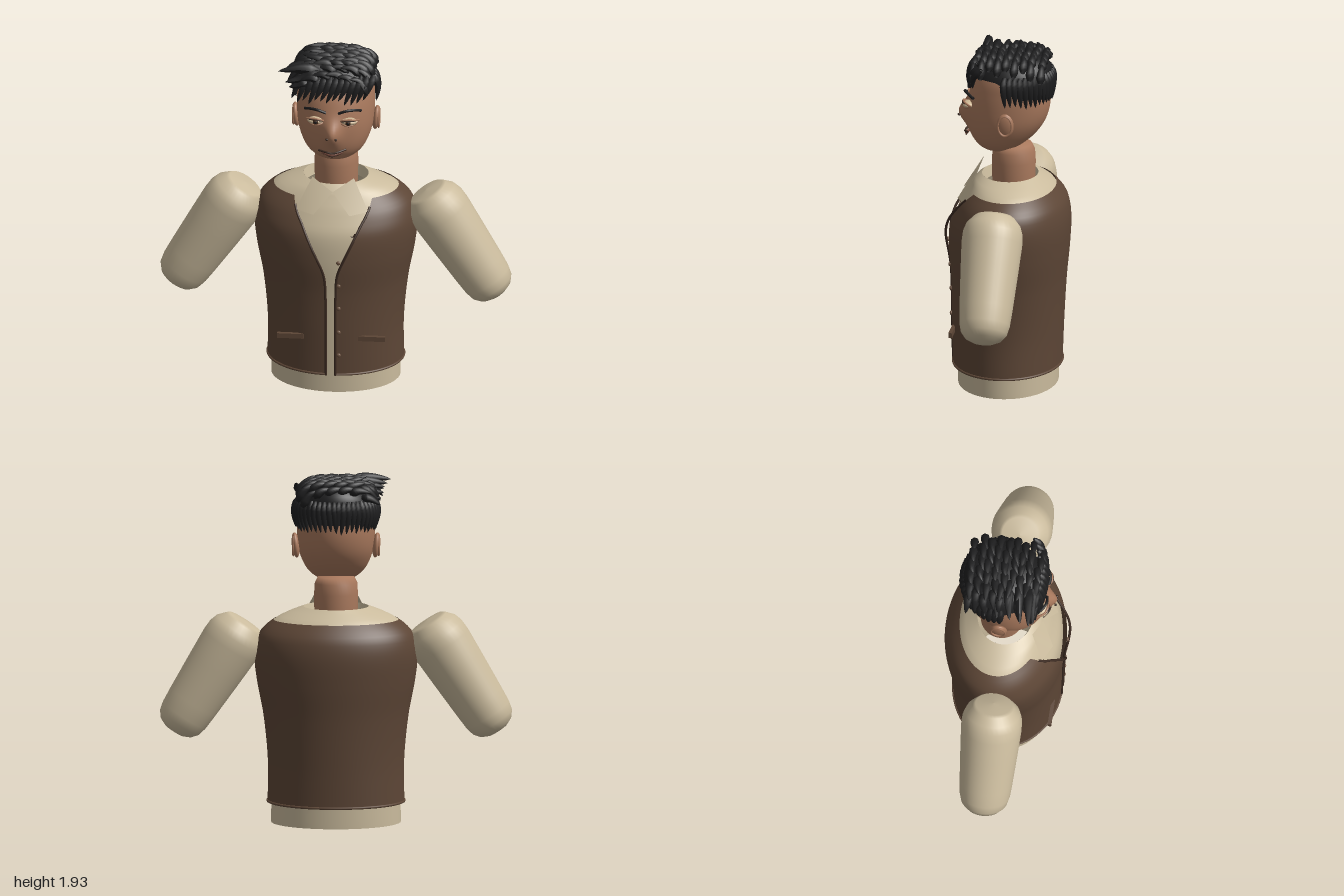
import * as THREE from 'three';
import { mergeVertices, mergeGeometries } from 'three/addons/utils/BufferGeometryUtils.js';

const V = (x, y, z) => new THREE.Vector3(x, y, z);
const paint = (name, color, side = THREE.FrontSide) =>
  Object.assign(new THREE.MeshStandardMaterial({ color, side }), { name });
const M = {
  skin: paint('skin', 0xa9795d),
  shirt: paint('shirt cream', 0xcabb9d, THREE.DoubleSide),
  vest: paint('vest brown', 0x5d4636, THREE.DoubleSide),
  trim: paint('trim dark brown', 0x3c2b22),
  button: paint('button brown', 0x6e5442),
  hair: paint('hair black', 0x1e1e1f, THREE.DoubleSide),
  eye: paint('eye white', 0xcdb795),
  iris: paint('iris brown', 0x4a2f1e),
  lip: paint('lip brown', 0x7a4c3e),
};

// Body sections: [y, half width, front z, back z]
const SHIRT = [[0, .357, .275, -.275], [.2, .358, .28, -.28], [.6, .38, .292, -.3], [.8, .415, .303, -.318],
  [.95, .43, .293, -.322], [1.05, .405, .25, -.303], [1.1, .375, .225, -.275], [1.14, .335, .2, -.245],
  [1.18, .25, .178, -.195], [1.205, .18, .145, -.165]];
const VEST = [[.115, .377, .303, -.297], [.35, .376, .308, -.306], [.6, .4, .312, -.32], [.8, .437, .325, -.338],
  [.95, .45, .315, -.343], [1.05, .428, .272, -.325], [1.1, .39, .238, -.293], [1.135, .345, .21, -.262]];
const HEAD = [[1.335, 0, .06, .06], [1.34, .06, .1, -.02], [1.36, .105, .15, -.05], [1.4, .152, .188, -.105],
  [1.45, .182, .212, -.158], [1.52, .205, .224, -.205], [1.6, .214, .225, -.23], [1.7, .214, .205, -.235],
  [1.78, .203, .17, -.225], [1.84, .16, .12, -.17], [1.88, .08, .05, -.09], [1.89, 0, -.02, -.02]];
const HAIR = [[1.62, .219, .205, -.24], [1.7, .224, .214, -.247], [1.78, .22, .2, -.245], [1.84, .19, .18, -.232],
  [1.88, .14, .145, -.195], [1.9, .09, .09, -.13], [1.91, 0, -.02, -.02]];
// Vest opening: [y, half gap]
const GAP = [[.115, .026], [.6, .028], [.72, .036], [.8, .062], [1.0, .155], [1.08, .2], [1.135, .215]];

// Smooth interpolation of a table row at height y
function at(table, y) {
  let i = 0;
  while (i < table.length - 2 && y > table[i + 1][0]) i++;
  const a = table[i], b = table[i + 1], p = table[Math.max(i - 1, 0)], q = table[Math.min(i + 2, table.length - 1)];
  const h = b[0] - a[0], t = THREE.MathUtils.clamp((y - a[0]) / h, 0, 1);
  return a.slice(1).map((va, k) => {
    const vb = b[k + 1];
    const ma = (vb - p[k + 1]) / (b[0] - p[0]) * h, mb = (q[k + 1] - va) / (q[0] - a[0]) * h;
    const t2 = t * t, t3 = t2 * t;
    return (2 * t3 - 3 * t2 + 1) * va + (t3 - 2 * t2 + t) * ma + (3 * t2 - 2 * t3) * vb + (t3 - t2) * mb;
  });
}
// Point on a sectioned body; angle 0 faces front, growing towards +x
function onBody(table, y, a) {
  const [w, f, b] = at(table, y);
  return V(w * Math.sin(a), y, (f + b) / 2 + (f - b) / 2 * Math.cos(a));
}
// Smooth surface from fn(u, v)
function grid(fn, nu, nv) {
  const pos = [], idx = [];
  for (let j = 0; j <= nv; j++) for (let i = 0; i <= nu; i++) pos.push(...fn(i / nu, j / nv).toArray());
  for (let j = 0; j < nv; j++) for (let i = 0; i < nu; i++) {
    const a = j * (nu + 1) + i, c = a + nu + 1;
    idx.push(a, a + 1, c, a + 1, c + 1, c);
  }
  let g = new THREE.BufferGeometry();
  g.setAttribute('position', new THREE.Float32BufferAttribute(pos, 3));
  g.setIndex(idx);
  g = mergeVertices(g, 1e-5);
  g.computeVertexNormals();
  return g;
}
const tube = (pts, r, n = 24) => new THREE.TubeGeometry(new THREE.CatmullRomCurve3(pts), n, r, 8);
// Hair lock: a tube that swells, then narrows to a point
function lock(pts, r) {
  const curve = new THREE.CatmullRomCurve3(pts), n = 10, m = 7;
  const g = new THREE.TubeGeometry(curve, n, r, m), p = g.attributes.position, v = V(0, 0, 0);
  for (let i = 0; i <= n; i++) {
    const t = i / n, c = curve.getPointAt(t), s = Math.min(1, .35 + t * 3) * Math.pow(1 - t, .6);
    for (let k = 0; k <= m; k++) {
      const id = i * (m + 1) + k;
      v.fromBufferAttribute(p, id).sub(c).multiplyScalar(s).add(c);
      p.setXYZ(id, v.x, v.y, v.z);
    }
  }
  g.computeVertexNormals();
  return g;
}

export function createModel() {
  const root = new THREE.Group();
  root.name = 'bust';
  const add = (name, geo, mat, x = 0, y = 0, z = 0) => {
    const m = new THREE.Mesh(geo, mat);
    m.name = name;
    m.position.set(x, y, z);
    root.add(m);
    return m;
  };
  const ball = (name, mat, p, s) => {
    const m = add(name, new THREE.SphereGeometry(1, 24, 16), mat, ...p);
    m.scale.set(...s);
    return m;
  };
  const TAU = Math.PI * 2;
  let seed = 7;
  const rnd = () => (seed = (seed * 16807) % 2147483647) / 2147483647 - .5;

  // Shirt body, open below, with a neck band
  add('shirt', grid((u, v) => onBody(SHIRT, 1.205 * v, u * TAU), 64, 48), M.shirt);
  add('neckBand', grid((u, v) => {
    const a = u * TAU;
    return V((.18 - .015 * v) * Math.sin(a), 1.205 - .06 * v, -.01 + (.155 - .015 * v) * Math.cos(a));
  }, 48, 2), M.shirt);

  // Vest wrapped from one front edge round the back to the other
  const edge = y => Math.asin(at(GAP, y)[0] / at(VEST, y)[0]);
  add('vest', grid((u, v) => {
    const y = .115 + 1.02 * v, a = edge(y);
    return onBody(VEST, y, a + u * (TAU - 2 * a));
  }, 80, 48), M.vest);
  const a0 = edge(.115), hem = [];
  for (let i = 0; i <= 40; i++) hem.push(onBody(VEST, .119, a0 + i / 40 * (TAU - 2 * a0)));
  add('vestHem', tube(hem, .007, 80), M.vest);
  for (const s of [1, -1]) {
    const pts = [];
    for (let i = 0; i <= 24; i++) {
      const y = .115 + i / 24 * .985, p = onBody(VEST, y, s * edge(y));
      p.z += .002 + .016 * Math.exp(-(((y - .88) / .12) ** 2));
      pts.push(p);
    }
    add('vestEdge', tube(pts, .007, 64), M.trim);
    add('pocket', new THREE.BoxGeometry(.148, .028, .02), M.vest, s * .225, .335, .277);

    // Collar wing
    const wing = new THREE.BufferGeometry().setFromPoints([V(s * .115, 1.25, .155), V(s * .2, 1.08, .222),
      V(s * .1, 1.07, .268), V(0, 1.18, .2)]);
    wing.setIndex(s > 0 ? [0, 3, 2, 0, 2, 1] : [0, 2, 3, 0, 1, 2]);
    wing.computeVertexNormals();
    add('collarWing', wing, M.shirt);

    // Sleeve, a tapered capsule hanging outwards
    const sleeve = new THREE.LatheGeometry([[0, 0], [.06, .006], [.1, .025], [.128, .06], [.14, .11], [.147, .2],
      [.16, .42], [.168, .57], [.165, .63], [.15, .675], [.115, .715], [.1, .727], [0, .735]]
      .map(p => new THREE.Vector2(...p)), 36);
    add('sleeve', sleeve, M.shirt, s * .895, .505, -.004).quaternion
      .setFromUnitVectors(V(0, 1, 0), V(-s * .395, .615, 0).normalize());
  }
  for (const y of [.81, .665, .525, .38, .24])
    ball('button', M.button, [.045, y, at(VEST, y)[1] + .004], [.012, .012, .008]);
  add('chestStitch', tube([V(.112, .965, .305), V(.12, .958, .307), V(.135, .98, .302)], .003, 8), M.trim);

  // Neck and head, with the nose drawn out of the face
  add('neck', new THREE.LatheGeometry([[.117, 1.13], [.12, 1.2], [.121, 1.28], [.117, 1.34], [.1, 1.375], [0, 1.39]]
    .map(p => new THREE.Vector2(...p)), 40), M.skin, 0, 0, -.03);
  add('head', grid((u, v) => {
    const p = onBody(HEAD, 1.6125 - .2775 * Math.cos(v * Math.PI), u * TAU);
    if (p.z > 0) p.z += .052 * Math.exp(-((p.x / .045) ** 2) - ((p.y - 1.545) / .07) ** 2);
    return p;
  }, 96, 64), M.skin);

  // Facial features, mirrored
  for (const s of [1, -1]) {
    ball('ear', M.skin, [s * .222, 1.547, -.018], [.022, .07, .048]).rotation.z = -s * .1;
    const rim = add('earRim', new THREE.TorusGeometry(1, .14, 8, 32), M.skin, s * .236, 1.547, -.018);
    rim.rotation.y = Math.PI / 2;
    rim.scale.set(.038, .056, .04);
    ball('eye', M.eye, [s * .092, 1.62, .208], [.046, .019, .034]);
    ball('iris', M.iris, [s * .09, 1.621, .236], [.016, .016, .008]);
    ball('pupil', M.hair, [s * .09, 1.621, .242], [.008, .008, .004]);
    const lid = (h, z) => [V(s * .04, 1.615, .21), V(s * .068, 1.62 + h * .75, z), V(s * .095, 1.62 + h, z),
      V(s * .12, 1.62 + h * .7, z - .012), V(s * .145, 1.62, .185)];
    add('upperLid', tube(lid(.02, .235), .006), M.skin);
    add('lowerLid', tube(lid(-.019, .232), .005), M.skin);
    add('lashLine', tube(lid(.016, .241), .003), M.trim);
    add('eyebrow', tube([V(s * .035, 1.673, .226), V(s * .075, 1.69, .23), V(s * .115, 1.69, .212),
      V(s * .155, 1.672, .17)], .008), M.hair);
    ball('nostril', M.trim, [s * .025, 1.533, .272], [.008, .007, .008]);
  }
  add('mouthLine', tube([V(-.075, 1.438, .208), V(-.03, 1.439, .236), V(0, 1.435, .24), V(.03, 1.44, .236),
    V(.075, 1.448, .208)], .006), M.trim);
  add('lowerLip', tube([V(-.055, 1.43, .215), V(0, 1.422, .234), V(.055, 1.433, .215)], .008), M.lip);
  add('lipShade', tube([V(-.045, 1.423, .22), V(0, 1.414, .236), V(.045, 1.424, .22)], .004), M.trim);

  // Hair cap, lower at the back than over the brow
  add('hairCap', grid((u, v) => {
    const a = u * TAU, low = 1.79 - .1 * THREE.MathUtils.smoothstep(-Math.cos(a), -.35, .5);
    return onBody(HAIR, low + (1.91 - low) * Math.sin(v * Math.PI / 2), a);
  }, 64, 20), M.hair);

  // Crown locks swept towards -x
  const locks = [];
  const crown = (x, z) => 1.7 + .208 *
    Math.cbrt(Math.max(.03, 1 - Math.abs(x / .25) ** 3 - Math.abs((z + .02) / .235) ** 4));
  for (let r = 0; r < 9; r++) for (let c = 0; c < 6; c++) {
    const z = -.2 + r * .046 + rnd() * .015, x = .19 - c * .066 + (r % 2) * .025;
    const e = x - .11 + rnd() * .03, lift = c > 3 ? .035 : .008;
    locks.push(lock([V(x, crown(x, z) - .022, z), V(x - .05, crown(x - .05, z) + .004, z),
      V(e, crown(e, z) + lift, z + .012 + rnd() * .03)], .03));
  }
  // Long tips on the swept side
  for (const [z, y, x] of [[.15, 1.885, -.305], [.1, 1.87, -.285], [.04, 1.86, -.27], [-.03, 1.84, -.265], [-.1, 1.82, -.25],
    [.17, 1.83, -.265]])
    locks.push(lock([V(-.08, 1.885, z - .02), V(-.18, y + .015, z - .01), V(x, y, z + .01)], .036));
  // Fringe
  for (let i = 0; i < 13; i++) {
    const x = .19 - i * .033, z = .215 * Math.sqrt(1 - (x / .3) ** 2);
    locks.push(lock([V(x + .03, 1.865, z - .05), V(x + .01, 1.81, z - .005), V(x - .025, 1.725 + rnd() * .04, z + .008)], .026));
  }
  // Sides and nape
  for (let i = 0; i < 26; i++) {
    const a = 1.5 + i / 25 * (TAU - 3), low = 1.645 + rnd() * .025;
    const p = [1.82, 1.74, low].map(y => onBody(HAIR, y, a + (1.82 - y) * (a < Math.PI ? .4 : -.4)));
    p[1].x *= 1.03;
    locks.push(lock(p, .027));
  }
  add('hairLocks', mergeGeometries(locks), M.hair);
  return root;
}
